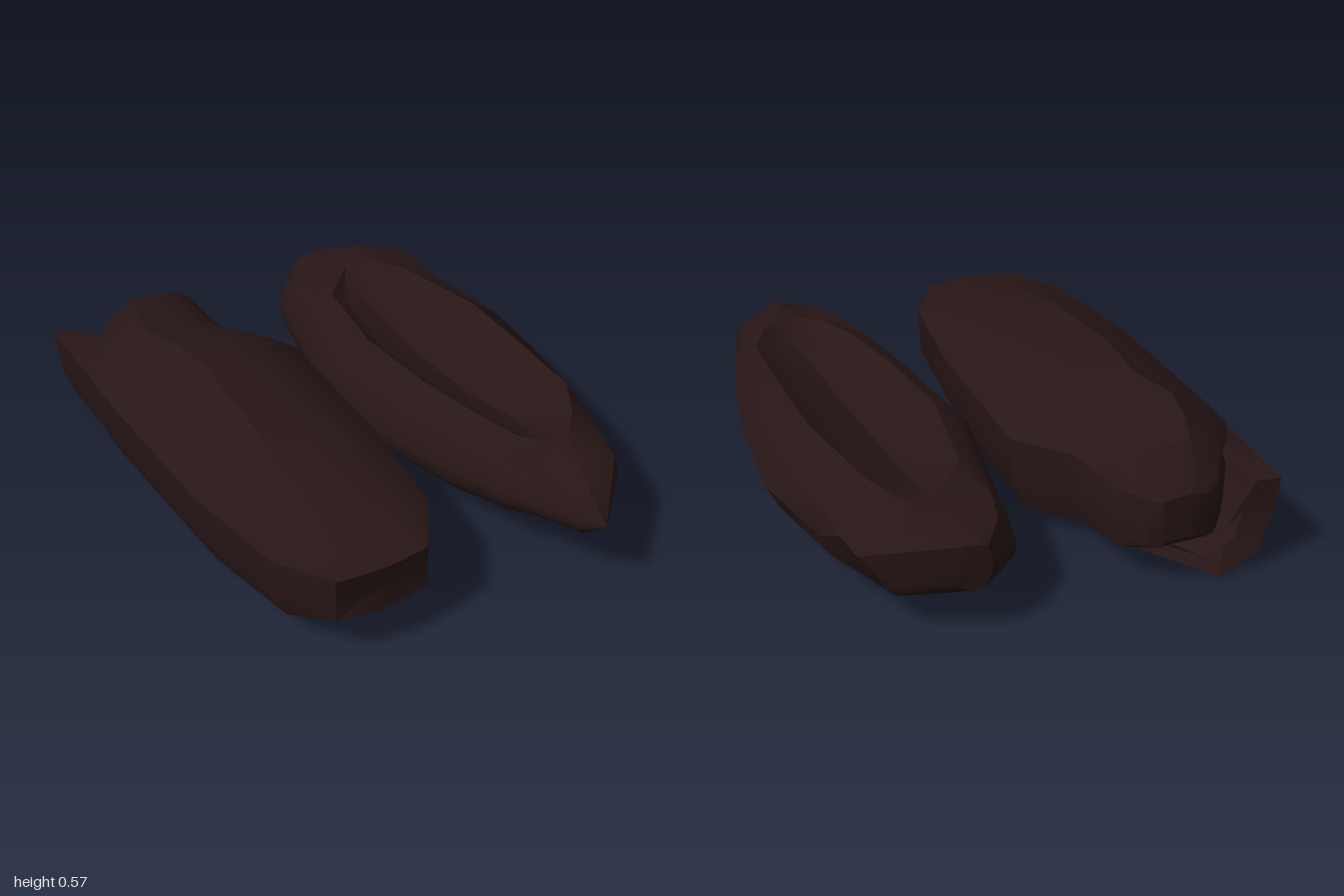
import * as THREE from 'three';
import { toCreasedNormals } from 'three/addons/utils/BufferGeometryUtils.js';

const bark = new THREE.MeshStandardMaterial({ color: 0x281616 });
const { lerp, clamp } = THREE.MathUtils;

// Skin closed rings (counterclockwise seen from +z, ordered towards +z) and cap both ends
function loft(name, rings) {
  const n = rings[0].length, pos = rings.flat(2), index = [];
  for (let i = 0; i < rings.length - 1; i++) {
    for (let j = 0; j < n; j++) {
      const k = (j + 1) % n, a = i * n, b = a + n;
      index.push(a + j, a + k, b + j, a + k, b + k, b + j);
    }
  }
  [0, rings.length - 1].forEach((r, end) => {
    const c = pos.length / 3;
    for (let d = 0; d < 3; d++) pos.push(rings[r].reduce((s, p) => s + p[d], 0) / n);
    for (let j = 0; j < n; j++) {
      const a = r * n + j, b = r * n + (j + 1) % n;
      index.push(c, end ? a : b, end ? b : a);
    }
  });
  const geo = new THREE.BufferGeometry();
  geo.setAttribute('position', new THREE.Float32BufferAttribute(pos, 3));
  geo.setIndex(index);
  const mesh = new THREE.Mesh(toCreasedNormals(geo, 0.6), bark);
  mesh.name = name;
  return mesh;
}

// Thick log: level side band between y 0.2 and 0.38 (v 0..1), belly below it (v < 0), crown above (v > 1)
function solidLog() {
  const section = [[0.97, 0], [1, 1], [0.72, 1.48], [0.47, 1.75], [0.17, 1.86], [-0.25, 2],
    [-0.49, 1.7], [-0.75, 1.42], [-1, 1], [-0.97, 0], [-0.83, -0.67], [-0.46, -0.95],
    [0, -1], [0.48, -0.95], [0.82, -0.67]];
  // z, left x, right x, bottom, top, squareness
  const stations = [
    [-1.0, -0.52, -0.36, 0.22, 0.39, 1.1],
    [-0.97, -0.58, -0.32, 0.18, 0.43, 1.1],
    [-0.86, -0.67, -0.25, 0.11, 0.525, 1.15],
    [-0.73, -0.76, -0.23, 0.06, 0.535, 1.05],
    [-0.6, -0.81, -0.2, 0.02, 0.55, 1],
    [-0.43, -0.81, -0.04, 0.005, 0.555, 1],
    [-0.22, -0.8, -0.04, 0.005, 0.58, 1],
    [0.2, -0.78, -0.04, 0.02, 0.53, 1],
    [0.62, -0.705, -0.085, 0.07, 0.45, 1],
    [0.82, -0.57, -0.21, 0.2, 0.38, 1.15],
  ];
  return loft('solidLog', stations.map(([z, x0, x1, y0, y1, square]) => section.map(([u, v]) => {
    const y = v < 0 ? lerp(0.2, y0, -v) : v > 1 ? lerp(0.38, y1, v - 1) : lerp(0.2, 0.38, v);
    const bulge = z > 0.8 ? 0.025 * (1 - Math.abs(u)) : 0;
    return [lerp(x0, x1, (clamp(u * square, -1, 1) + 1) / 2), y, z + bulge];
  })));
}

// Strip of shell that runs on past the broken back end, thickening towards the log
function splinter() {
  const inner = [[-0.42, 0.05], [-0.57, 0.07], [-0.66, 0.14], [-0.7, 0.24], [-0.73, 0.37]];
  const outer = [[-0.81, 0.375], [-0.8, 0.21], [-0.75, 0.07], [-0.6, 0.015], [-0.42, 0.006]];
  const ends = [-0.72, -0.95, -0.97, -0.95, -0.98, -1, -0.98, -0.985, -1, -0.73];
  const rim = [...inner, ...outer];
  return loft('splinter', [0, 0.5, 1].map((t) => rim.map(([x, y], i) => {
    const thicken = i < inner.length ? Math.min(1, t * 2) : 0;
    return [x + 0.1 * thicken + 0.006 * t, y + 0.05 * thicken + 0.004 * t, lerp(ends[i], -0.48, t)];
  })));
}

// Pointed log with a trough sunk into its top
function hollowLog() {
  // z, left x, right x, bottom, top, left rim x, right rim x, trough depth, undercut below the right lip
  const stations = [
    [-1.0, 0.26, 0.41, 0.2, 0.385, 0.29, 0.38, 0, 0],
    [-0.89, 0.13, 0.69, 0.13, 0.42, 0.3, 0.52, 0, 0.11],
    [-0.77, 0.1, 0.71, 0.1, 0.44, 0.38, 0.48, 0, 0.08],
    [-0.6, 0.07, 0.75, 0.08, 0.455, 0.22, 0.56, 0.08, 0.03],
    [-0.23, 0.005, 0.81, 0.06, 0.475, 0.17, 0.64, 0.13, 0],
    [0.1, 0.06, 0.79, 0.07, 0.475, 0.21, 0.65, 0.13, 0],
    [0.4, 0.13, 0.74, 0.11, 0.475, 0.28, 0.65, 0.09, 0],
    [0.55, 0.18, 0.7, 0.15, 0.465, 0.34, 0.57, 0.045, 0],
    [0.63, 0.2, 0.68, 0.17, 0.455, 0.41, 0.49, 0, 0],
    [0.75, 0.25, 0.64, 0.22, 0.435, 0.38, 0.46, 0, 0],
    [0.9, 0.34, 0.5, 0.24, 0.385, 0.39, 0.41, 0, 0],
    [1.0, 0.395, 0.405, 0.33, 0.34, 0.398, 0.402, 0, 0],
  ];
  const side = [[0, 0.48], [0.01, 0.33], [0.1, 0.14], [0.25, 0], [0.5, 0.02], [0.77, 0.13]];
  const sag = [[0, 0], [0.22, 0.55], [0.55, 1], [0.82, 0.65], [1, 0]];
  return loft('hollowLog', stations.map(([z, x0, x1, y0, y1, r0, r1, depth, cut]) => {
    const at = ([u, v]) => [lerp(x0, x1, u), lerp(y0, y1, v), z];
    const lip = [[0.94 - cut, 0.25], [1 - cut, 0.49], [cut > 0.05 ? 1 : 0.94, 0.78]];
    const trough = sag.map(([t, s]) => [lerp(r1, r0, t), y1 - depth * s - 0.012 * t, z]);
    return [...side.map(at), ...lip.map(at), ...trough, at([0.12, 0.89]), at([0.05, 0.73])];
  }));
}

export function createModel() {
  const group = new THREE.Group();
  group.name = 'logPair';
  group.add(solidLog(), splinter(), hollowLog());
  return group;
}
